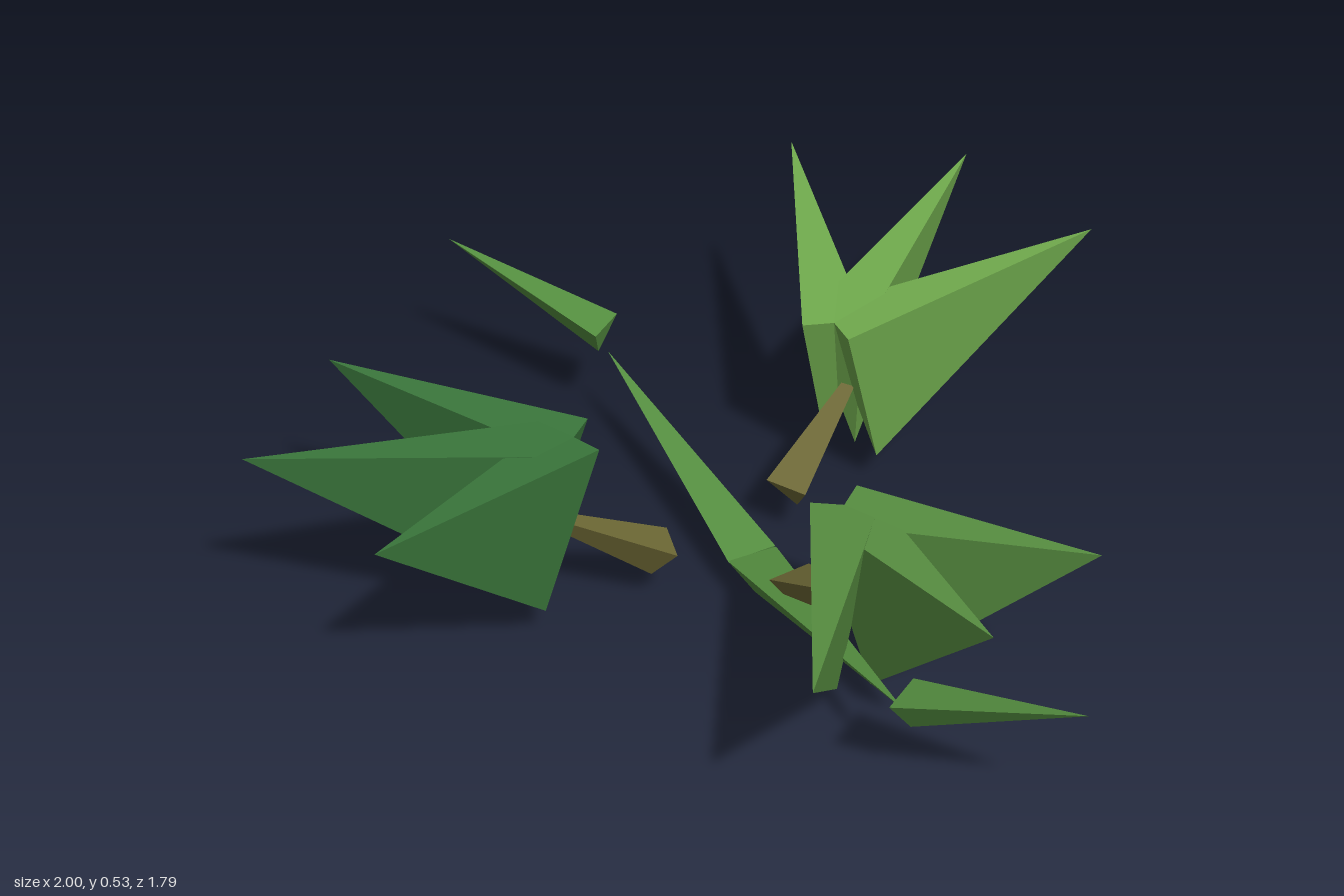
import * as THREE from 'three';

const mat = (name, color) => {
  const m = new THREE.MeshStandardMaterial({ color, flatShading: true });
  m.name = name;
  return m;
};

// Three-sided spike: flat top edge at the root, keel below, all meeting at the tip.
// root = [x, z] of the middle of the top edge; shift moves the keel towards the tip.
function spike(name, material, root, tip, width, topY, keelY, shift) {
  const [x, z] = root;
  const d = new THREE.Vector2(tip[0] - x, tip[2] - z).normalize();
  const w = width / 2;
  const L = [x + d.y * w, topY, z - d.x * w];
  const R = [x - d.y * w, topY, z + d.x * w];
  const B = [x + d.x * shift, keelY, z + d.y * shift];
  const faces = [tip, L, R, tip, R, B, tip, B, L, L, B, R];
  const geo = new THREE.BufferGeometry();
  geo.setAttribute('position', new THREE.Float32BufferAttribute(faces.flat(), 3));
  geo.computeVertexNormals();
  const mesh = new THREE.Mesh(geo, material);
  mesh.name = name;
  return mesh;
}

export function createModel() {
  const model = new THREE.Group();
  model.name = 'plant';

  const stemBrown = mat('olive brown', 0x6f6a36);
  const runnerGreen = mat('runner green', 0x558f40);

  // Three leaf fans, each with a stem and three blades
  const fans = [
    {
      name: 'backFan', material: mat('light green', 0x70aa4d), root: [-0.106, -0.305],
      stem: [-0.065, -0.12], stemTip: [-0.135, 0.325, -0.47],
      tips: [[-0.585, 0.52, -0.68], [-0.27, 0.525, -0.9], [0.11, 0.52, -0.865]],
    },
    {
      name: 'frontFan', material: mat('dark green', 0x3a763b), root: [-0.207, 0.335],
      stem: [-0.107, 0.17], stemTip: [-0.29, 0.325, 0.47],
      tips: [[-0.705, 0.5, 0.535], [-0.54, 0.53, 0.888], [-0.157, 0.51, 0.888]],
    },
    {
      name: 'leftFan', material: mat('mid green', 0x599042), root: [0.322, 0.125],
      stem: [0.13, 0.075], stemTip: [0.48, 0.325, 0.155],
      tips: [[0.8, 0.49, -0.064], [0.81, 0.49, 0.255], [0.71, 0.53, 0.625]],
    },
  ];
  for (const f of fans) {
    const fan = new THREE.Group();
    fan.name = f.name;
    fan.add(spike('stem', stemBrown, f.stem, f.stemTip, 0.095, 0.155, 0.08, 0.045));
    for (const tip of f.tips) fan.add(spike('blade', f.material, f.root, tip, 0.132, 0.457, 0.082, 0.105));
    model.add(fan);
  }

  // Low runner: two arms from the middle, each followed by a loose end leaf
  const runner = new THREE.Group();
  runner.name = 'runner';
  runner.add(
    spike('rightArm', runnerGreen, [-0.02, 0.028], [-0.63, 0.205, -0.155], 0.11, 0.09, 0, 0.015),
    spike('leftArm', runnerGreen, [-0.02, 0.028], [0.617, 0.213, 0.275], 0.11, 0.09, 0, 0.015),
    spike('rightEndLeaf', runnerGreen, [-0.634, -0.157], [-1, 0.38, -0.04], 0.096, 0.27, 0.195, 0.022),
    spike('leftEndLeaf', runnerGreen, [0.626, 0.292], [0.995, 0.38, 0.2], 0.096, 0.27, 0.195, 0.022),
  );
  model.add(runner);
  return model;
}
